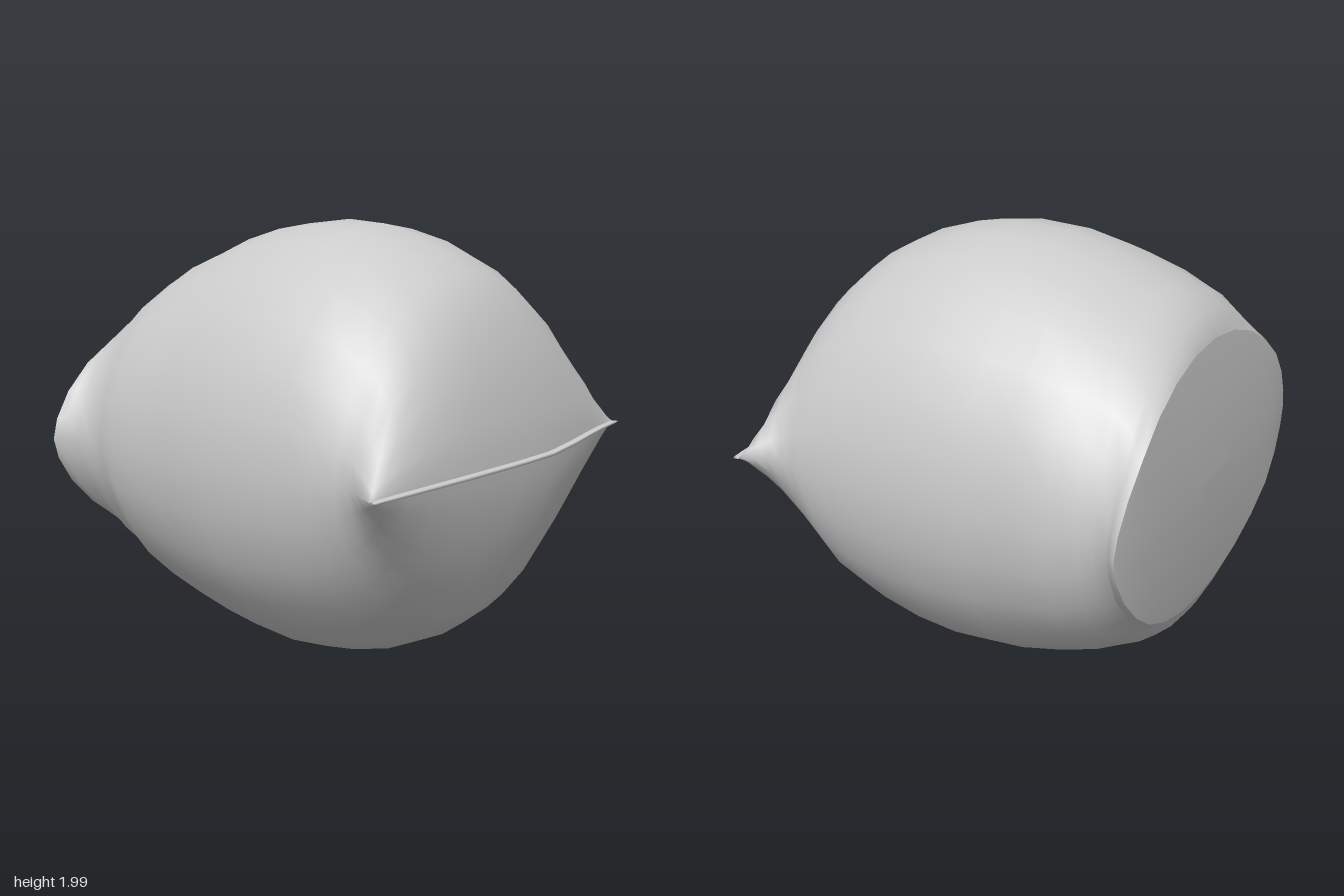
import * as THREE from 'three';

const SIDES = 28;

// Cross-sections from front to back: z, half width, half height, pointedness of the sides
const SECTIONS = [
  [0.972, 0.975, 0, 1],          // sewn lip
  [0.972, 0.975, 0.007, 0.5],
  [0.945, 0.972, 0.008, 0.5],
  [0.94, 0.965, 0.07, 1.3],      // gathered front
  [0.925, 0.955, 0.2, 1.4],
  [0.875, 0.93, 0.4, 1.4],
  [0.81, 0.895, 0.56, 1.35],
  [0.74, 0.865, 0.69, 1.25],
  [0.66, 0.862, 0.77, 1.15],
  [0.55, 0.885, 0.85, 1.06],
  [0.4, 0.895, 0.92, 1],         // full body
  [0.2, 0.91, 0.975, 1],
  [0, 0.92, 0.995, 1],
  [-0.25, 0.91, 0.975, 1],
  [-0.45, 0.895, 0.925, 1],
  [-0.63, 0.905, 0.855, 1],
  [-0.75, 0.865, 0.8, 1.05],
  [-0.82, 0.87, 0.765, 1.1],
  [-0.89, 0.885, 0.7, 1.2],
  [-0.925, 0.945, 0.645, 1.25],
];

// Flat back face: rings of one eye-shaped outline, shrinking to the middle
const FACE = [1, 0.96, 0.8, 0.55, 0.28, 0];

function point(z, w, h, p, t) {
  const c = Math.cos(t), s = Math.sin(t);
  const x = w * c;
  let y = h * Math.sign(s) * Math.abs(s) ** p;
  if (z === null) {
    // the face bows gently and its two corners fold forward
    z = -0.98 + 0.11 * y * y + 0.02 * Math.max(0, (Math.abs(x) - 0.8) / 0.17);
  } else if (z > 0.55) {
    // the seam bends back and lifts towards its left end
    const k = THREE.MathUtils.smoothstep(z, 0.55, 0.94);
    const bend = Math.max(0, (x - 0.2) / 0.77);
    z -= k * (0.025 * x * x + 0.075 * bend ** 1.4);
    y += k * 0.036 * THREE.MathUtils.smoothstep(x, 0.1, 0.8);
  }
  return [x, 1 + y, z];
}

function skin(rows) {
  const pos = [], index = [];
  rows.forEach(([z, w, h, p]) => {
    for (let i = 0; i < SIDES; i++) pos.push(...point(z, w, h, p, (i / SIDES) * Math.PI * 2));
  });
  for (let j = 0; j < rows.length - 1; j++) {
    for (let i = 0; i < SIDES; i++) {
      const n = (i + 1) % SIDES;
      const a = j * SIDES + i, b = j * SIDES + n, c = a + SIDES, d = b + SIDES;
      index.push(a, c, b, b, c, d);
    }
  }
  const geo = new THREE.BufferGeometry();
  geo.setAttribute('position', new THREE.Float32BufferAttribute(pos, 3));
  geo.setIndex(index);
  geo.computeVertexNormals();
  return geo;
}

export function createModel() {
  const group = new THREE.Group();
  group.name = 'sack';
  const material = new THREE.MeshStandardMaterial({ color: 0xcccccc, roughness: 0.9, side: THREE.DoubleSide });
  const face = FACE.map((k) => [null, 0.97 * k, 0.6 * k, 1.25]);

  const add = (name, rows) => {
    const mesh = new THREE.Mesh(skin(rows), material);
    mesh.name = name;
    group.add(mesh);
  };
  add('seamLip', SECTIONS.slice(0, 3));
  add('stuffedBody', [...SECTIONS.slice(2), face[0]]);
  add('backFace', face);
  return group;
}
